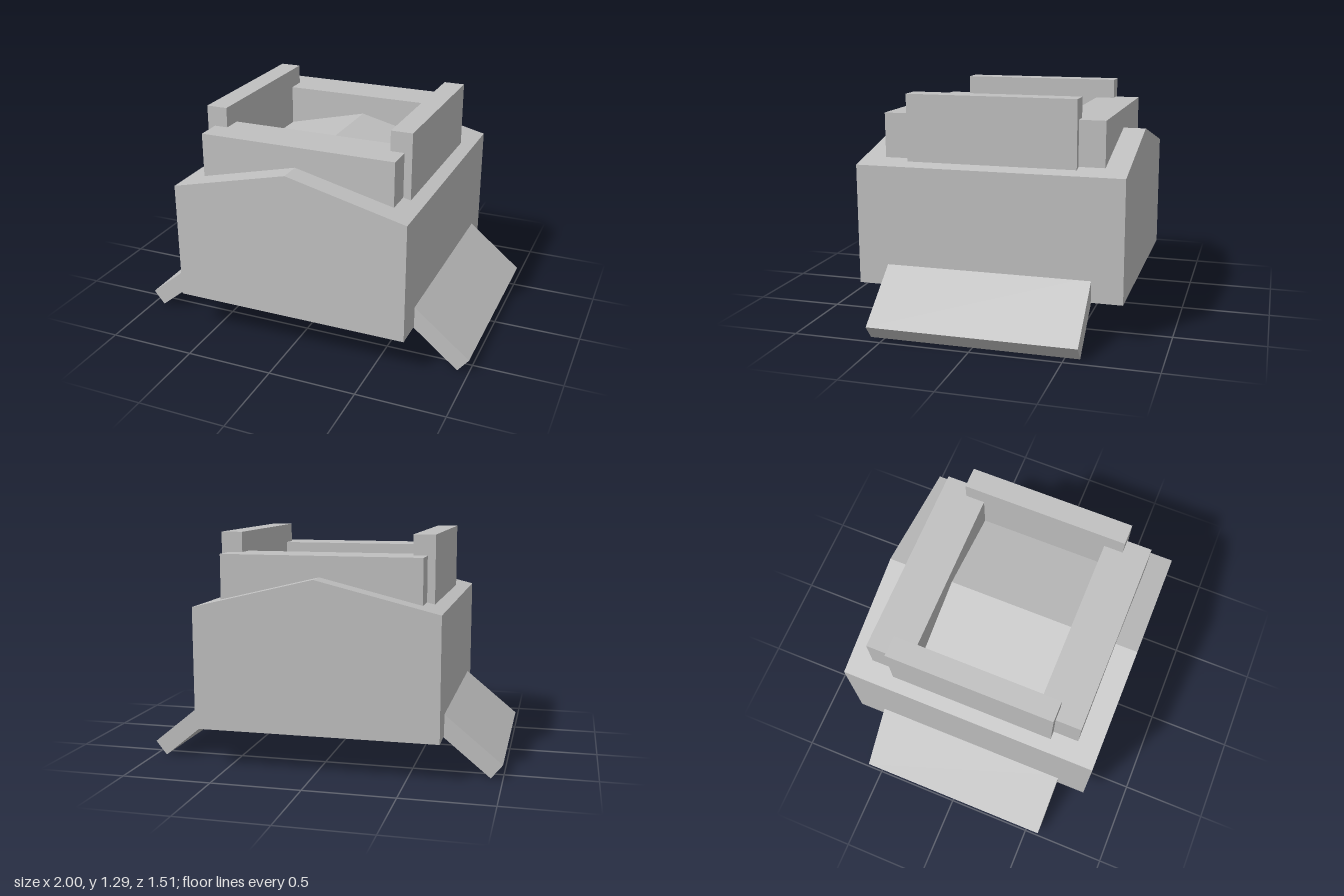
import * as THREE from 'three';

export function createModel() {
  const model = new THREE.Group();
  model.name = 'model';
  const grey = new THREE.MeshStandardMaterial({ color: 0xc0c0c0 });
  grey.name = 'plain grey';

  const add = (name, geometry, x = 0, y = 0, z = 0) => {
    const mesh = new THREE.Mesh(geometry, grey);
    mesh.name = name;
    mesh.position.set(x, y, z);
    model.add(mesh);
  };

  // Cross-section in x and y, run along z and centred
  const prism = (points, depth) => {
    const shape = new THREE.Shape(points.map(([x, y]) => new THREE.Vector2(x, y)));
    return new THREE.ExtrudeGeometry(shape, { depth, bevelEnabled: false }).translate(0, 0, -depth / 2);
  };

  // Main block with a shallow gabled top
  add('body', prism([[-0.68, 0.22], [0.68, 0.22], [0.68, 0.9], [0, 1.065], [-0.68, 0.9]], 1.506));

  // Low end walls, sunk into the gable
  for (const [name, s] of [['frontWall', 1], ['backWall', -1]]) {
    add(name, new THREE.BoxGeometry(1.125, 0.38, 0.256), 0, 0.99, s * 0.496);
  }

  for (const [side, s] of [['left', 1], ['right', -1]]) {
    // Taller side walls
    add(side + 'Wall', new THREE.BoxGeometry(0.121, 0.495, 0.957), s * 0.545, 1.0455, 0);

    // Sloping side flaps, with their inner ends inside the body
    const flap = [[0.66, 0.356], [0.66, 0.227], [0.935, 0.002], [0.998, 0.08]];
    const corners = flap.map(([x, y]) => [s * x, y]);
    add(side + 'Flap', prism(corners, 1.16));
  }
  return model;
}
